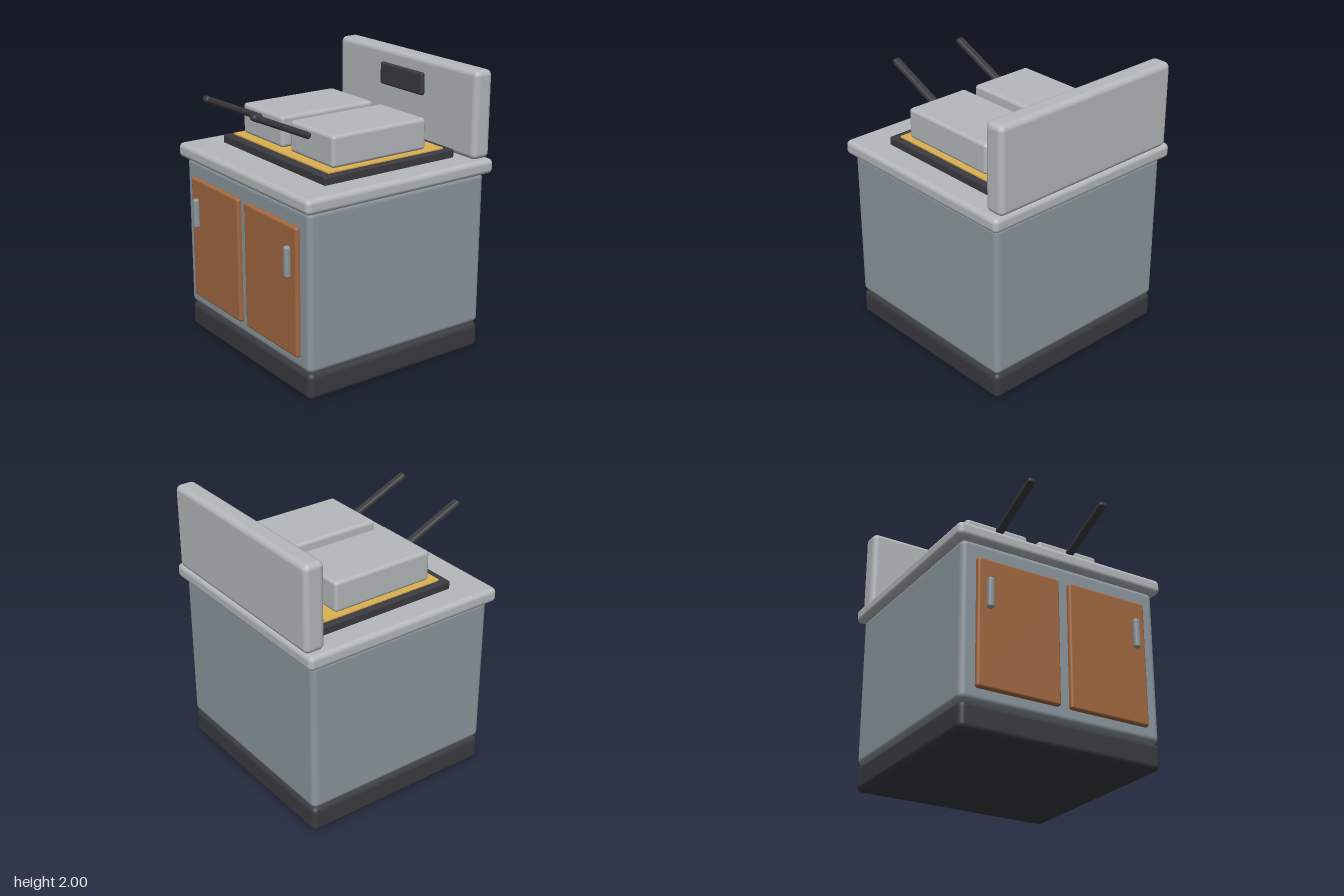
import * as THREE from 'three';
import { RoundedBoxGeometry } from 'three/addons/geometries/RoundedBoxGeometry.js';

const material = (name, color) => {
  const m = new THREE.MeshStandardMaterial({ color });
  m.name = name;
  return m;
};

export function createModel() {
  const model = new THREE.Group();
  model.name = 'deepFryer';

  const steel = material('steel', 0xb5b9bb);
  const cabinetGrey = material('cabinetGrey', 0x8b979e);
  const charcoal = material('charcoal', 0x3b3a40);
  const wood = material('wood', 0xa26840);
  const oilGold = material('oilGold', 0xdcb050);

  // Rounded box given by its extents on each axis
  const block = (name, mat, [x0, x1], [y0, y1], [z0, z1], radius, segments = 4) => {
    const mesh = new THREE.Mesh(
      new RoundedBoxGeometry(x1 - x0, y1 - y0, z1 - z0, segments, radius), mat);
    mesh.position.set((x0 + x1) / 2, (y0 + y1) / 2, (z0 + z1) / 2);
    mesh.name = name;
    model.add(mesh);
    return mesh;
  };

  // Body
  block('plinth', charcoal, [-0.755, 0.755], [0, 0.19], [-0.76, 0.69], 0.04);
  block('cabinet', cabinetGrey, [-0.755, 0.755], [0.19, 1.295], [-0.76, 0.69], 0.04);
  block('countertop', steel, [-0.8, 0.8], [1.29, 1.395], [-0.804, 0.732], 0.035);
  block('backsplash', steel, [-0.755, 0.755], [1.39, 2], [-0.804, -0.655], 0.04);
  block('controlPanel', charcoal, [-0.232, 0.232], [1.74, 1.9], [-0.66, -0.623], 0.015);

  // Fryer well
  block('wellRim', charcoal, [-0.615, 0.615], [1.38, 1.452], [-0.604, 0.47], 0.012);
  block('oil', oilGold, [-0.57, 0.57], [1.44, 1.464], [-0.545, 0.41], 0.005, 1);

  for (const [side, s] of [['left', 1], ['right', -1]]) {
    const span = (a, b) => (s > 0 ? [a, b] : [-b, -a]);

    // Cupboard door and its pull
    block(side + 'Door', wood, span(0.037, 0.653), [0.28, 1.175], [0.66, 0.72], 0.018);
    block(side + 'DoorPull', cabinetGrey, span(0.547, 0.592), [0.82, 1.037], [0.71, 0.755], 0.018);

    // Basket and its sloping handle
    block(side + 'Basket', steel, span(0.046, 0.536), [1.462, 1.68], [-0.42, 0.35], 0.025);
    const handle = block(side + 'BasketHandle', charcoal,
      span(0.26, 0.32), [1.703, 1.748], [0.34, 0.82], 0.02);
    handle.position.set(s * 0.29, 1.727, 0.58);
    handle.rotation.x = -0.42;
  }

  return model;
}
